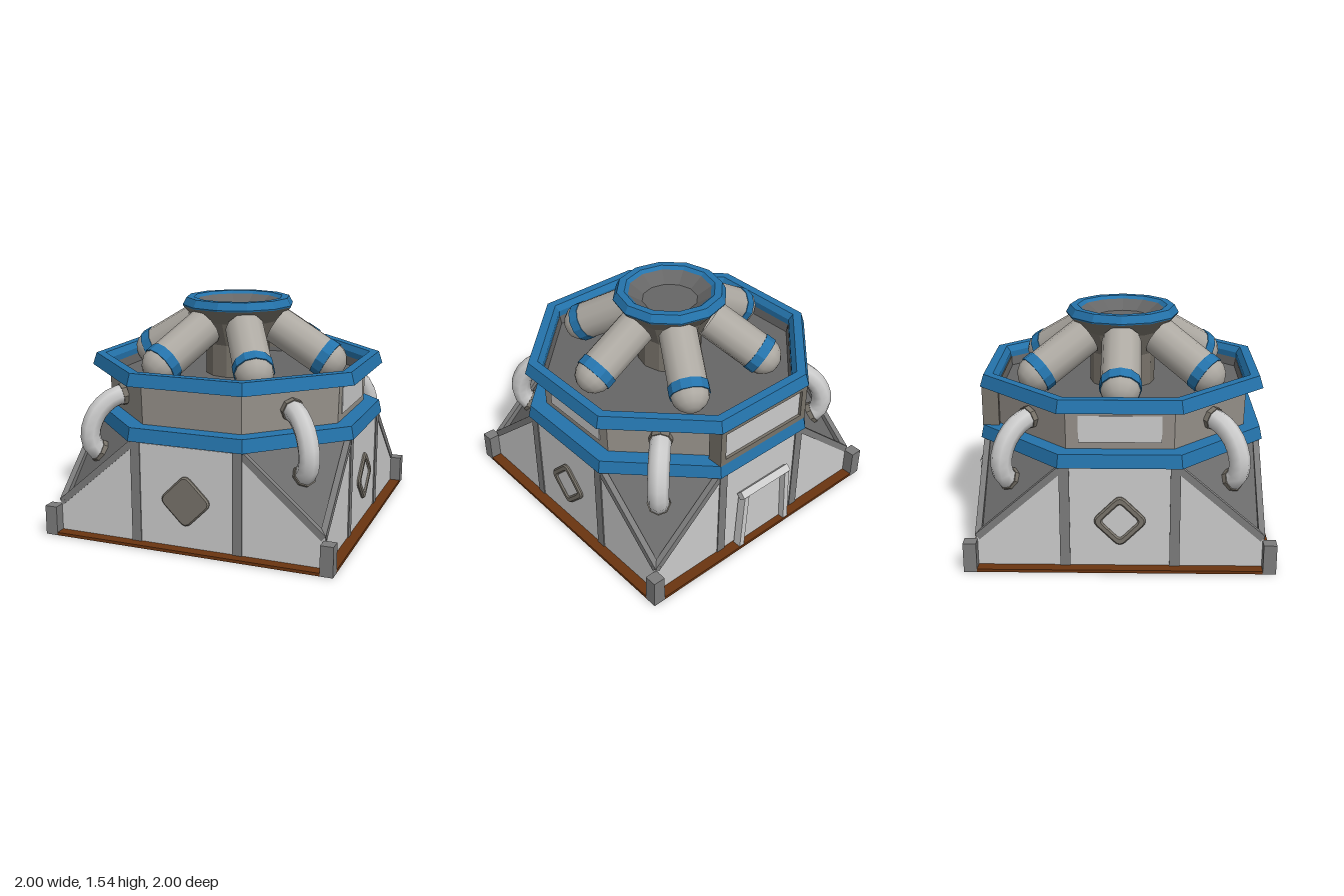
import * as THREE from 'three';

const mat = (color, flat = true) =>
  new THREE.MeshStandardMaterial({ color, flatShading: flat, side: THREE.DoubleSide });
const GREY = mat(0xcccccc), PIPE = mat(0xcccccc, false), DARK = mat(0x7c7c7c), SLOPE = mat(0x6c6c6c),
  BLUE = mat(0x2473ab), BROWN = mat(0x6a3410), TAUPE = mat(0x96918a), SHADE = mat(0x78736a),
  ARM = mat(0xaeaaa3, false), FLOOR = mat(0x666666);
const V = (x, y, z) => new THREE.Vector3(x, y, z);
const UP = V(0, 1, 0);

function add(parent, name, geo, material, x = 0, y = 0, z = 0) {
  const m = new THREE.Mesh(geo, material);
  m.name = name;
  m.position.set(x, y, z);
  parent.add(m);
  return m;
}
const box = (parent, name, material, w, h, d, x, y, z) =>
  add(parent, name, new THREE.BoxGeometry(w, h, d), material, x, y, z);

// Octagonal lathe; profile given as [apothem, y], flat sides facing the axes
function octagon(parent, name, profile, material) {
  const k = 1 / Math.cos(Math.PI / 8);
  const pts = profile.map(([r, y]) => new THREE.Vector2(r * k, y));
  return add(parent, name, new THREE.LatheGeometry(pts, 8, Math.PI / 8), material);
}
const round = (parent, name, profile, material) => add(parent, name,
  new THREE.LatheGeometry(profile.map(p => new THREE.Vector2(...p)), 12), material);

// Straight piece between two points
function between(parent, name, a, b, geo, material) {
  const m = add(parent, name, geo, material);
  m.position.copy(a).add(b).multiplyScalar(0.5);
  m.quaternion.setFromUnitVectors(UP, b.clone().sub(a).normalize());
  return m;
}

function polygon(points) {
  return new THREE.Shape(points.map(p => new THREE.Vector2(...p)));
}
const extrude = (shape, depth, bevel = 0) => new THREE.ExtrudeGeometry(shape, {
  depth, curveSegments: 4, bevelEnabled: bevel > 0, bevelSize: bevel, bevelThickness: bevel, bevelSegments: 1 });

// Diamond with rounded corners, r = half diagonal before rounding
function diamond(r, cut) {
  const s = new THREE.Shape(), c = [[r, 0], [0, r], [-r, 0], [0, -r]], t = cut / r;
  const mix = (p, q) => [p[0] + (q[0] - p[0]) * t, p[1] + (q[1] - p[1]) * t];
  c.forEach((p, i) => {
    const a = mix(p, c[(i + 3) % 4]), b = mix(p, c[(i + 1) % 4]);
    if (i) s.lineTo(...a); else s.moveTo(...a);
    s.quadraticCurveTo(...p, ...b);
  });
  s.closePath();
  return s;
}

function addWindow(side, glazed) {
  const g = new THREE.Group();
  g.name = 'window';
  g.position.set(0, 0.335, 0.92);
  const shape = diamond(0.17, 0.03);
  if (glazed) {
    shape.holes.push(diamond(0.135, 0.025));
    add(g, 'windowPane', extrude(diamond(0.14, 0.025), 0.014), GREY);
  }
  add(g, 'windowFrame', extrude(shape, 0.015, 0.01), SHADE);
  side.add(g);
}

function addDoor(side) {
  const g = new THREE.Group();
  g.name = 'door';
  add(g, 'doorPanel', extrude(polygon([[-0.2, 0], [0.2, 0], [0.18, 0.45], [-0.18, 0.45]]), 0.025), GREY, 0, 0, 0.925);
  for (const s of [-1, 1])
    between(g, 'doorJamb', V(s * 0.215, 0, 0.965), V(s * 0.19, 0.45, 0.965),
      new THREE.BoxGeometry(0.04, 0.45, 0.06), GREY);
  const lintel = add(g, 'doorLintel', new THREE.CylinderGeometry(0.036, 0.036, 0.44, 4), GREY, 0, 0.455, 0.964);
  lintel.rotation.z = Math.PI / 2;
  side.add(g);
}

// One of the four sides, facing +z, with the corner at +x
function buildSide(index) {
  const side = new THREE.Group();
  side.name = 'side';
  add(side, 'wall', extrude(polygon([[-0.92, 0], [0.92, 0], [0.92, 0.22], [0.38, 0.69],
    [-0.38, 0.69], [-0.92, 0.22]]), 0.02), GREY, 0, 0, 0.905);
  box(side, 'baseStrip', BROWN, 1.84, 0.02, 0.085, 0, 0.01, 0.957);
  box(side, 'cornerPost', DARK, 0.085, 0.2, 0.085, 0.9575, 0.1, 0.9575);
  for (const s of [-1, 1]) {
    box(side, 'rib', DARK, 0.065, 0.7, 0.1, s * 0.352, 0.35, 0.883);
    between(side, 'slopeBeam', V(s * 0.915, 0.215, 0.91), V(s * 0.38, 0.68, 0.91),
      new THREE.BoxGeometry(0.045, 0.71, 0.04), DARK);
  }
  // Sloping triangular panel across the corner, set back between the beams
  const tri = new THREE.BufferGeometry().setFromPoints(
    [V(0.9, 0.19, 0.9), V(0.9, 0.7, 0.355), V(0.355, 0.7, 0.9)]);
  tri.computeVertexNormals();
  add(side, 'cornerPanel', tri, SLOPE);

  // Bent pipe from the drum down into the corner panel
  const corner = new THREE.Group();
  corner.name = 'cornerPipe';
  corner.rotation.y = Math.PI / 4;
  const path = new THREE.CatmullRomCurve3([[0.83, 0.92], [0.93, 0.895], [1.035, 0.805], [1.085, 0.67],
    [1.06, 0.565], [0.99, 0.515]].map(([r, y]) => V(0, y, r)));
  add(corner, 'pipe', new THREE.TubeGeometry(path, 10, 0.07, 8), PIPE);
  for (const [t0, t1] of [[0, 0.06], [0.9, 1]]) {
    const a = path.getPointAt(t0), b = path.getPointAt(t1);
    between(corner, 'pipeCollar', a, b, new THREE.CylinderGeometry(0.078, 0.078, a.distanceTo(b), 8), SHADE);
  }
  side.add(corner);

  // Openings in the wall and panels on the drum
  if (index === 2) {
    addDoor(side);
    const frame = polygon([[-0.39, 0.785], [0.39, 0.785], [0.39, 1.065], [-0.39, 1.065]]);
    frame.holes.push(polygon([[-0.345, 0.825], [-0.345, 1.025], [0.345, 1.025], [0.345, 0.825]]));
    add(side, 'largeWindowFrame', extrude(frame, 0.11), SHADE, 0, 0, 0.825);
    box(side, 'largeWindowPane', GREY, 0.7, 0.21, 0.08, 0, 0.925, 0.875);
  } else {
    addWindow(side, index !== 0);
    if (index) box(side, 'drumPanel', GREY, 0.53, 0.175, 0.012, 0, 0.92, 0.832);
  }
  side.rotation.y = index * Math.PI / 2;
  return side;
}

// Sloping arm with a domed end and a coloured band, pointing along +x
function buildArm(angle) {
  const arm = new THREE.Group();
  arm.name = 'arm';
  const top = V(0.29, 1.351, 0), end = V(0.655, 1.133, 0);
  const dir = end.clone().sub(top).normalize(), length = top.distanceTo(end);
  between(arm, 'armTube', end, top, new THREE.CylinderGeometry(0.132, 0.132, length, 12, 1, true), ARM);
  const dome = add(arm, 'armDome',
    new THREE.SphereGeometry(0.132, 12, 4, 0, Math.PI * 2, 0, Math.PI / 2), ARM, end.x, end.y, end.z);
  dome.quaternion.setFromUnitVectors(UP, dir);
  between(arm, 'armBand', end.clone().addScaledVector(dir, 0.015), end.clone().addScaledVector(dir, -0.055),
    new THREE.CylinderGeometry(0.137, 0.137, 0.07, 12), BLUE);
  arm.rotation.y = angle;
  return arm;
}

export function createModel() {
  const model = new THREE.Group();
  model.name = 'building';
  for (let i = 0; i < 4; i++) model.add(buildSide(i));

  // Octagonal drum with its two rings and the sunken roof floor
  octagon(model, 'lowerRing', [[0.95, 0.7], [0.932, 0.787], [0.82, 0.787], [0.85, 0.7], [0.95, 0.7]], BLUE);
  octagon(model, 'drumWall', [[0.828, 0.77], [0.836, 1.07]], TAUPE);
  octagon(model, 'upperRing', [[0.945, 1.058], [0.92, 1.14], [0.86, 1.14], [0.832, 1.1], [0.832, 1.058], [0.945, 1.058]], BLUE);
  octagon(model, 'roofFloor', [[0.83, 1.06], [0.82, 1.0], [0, 1.0]], FLOOR);

  // Central hub with a shallow funnel top
  round(model, 'hub', [[0.225, 1.0], [0.225, 1.22], [0.3, 1.38], [0.385, 1.475]], SHADE);
  round(model, 'hubRim', [[0.385, 1.475], [0.388, 1.485], [0.36, 1.535], [0.31, 1.535], [0.285, 1.515]], BLUE);
  round(model, 'hubFunnel', [[0.285, 1.515], [0.19, 1.45], [0, 1.45]], FLOOR);
  for (let i = 0; i < 6; i++) model.add(buildArm(i * Math.PI / 3));
  return model;
}
